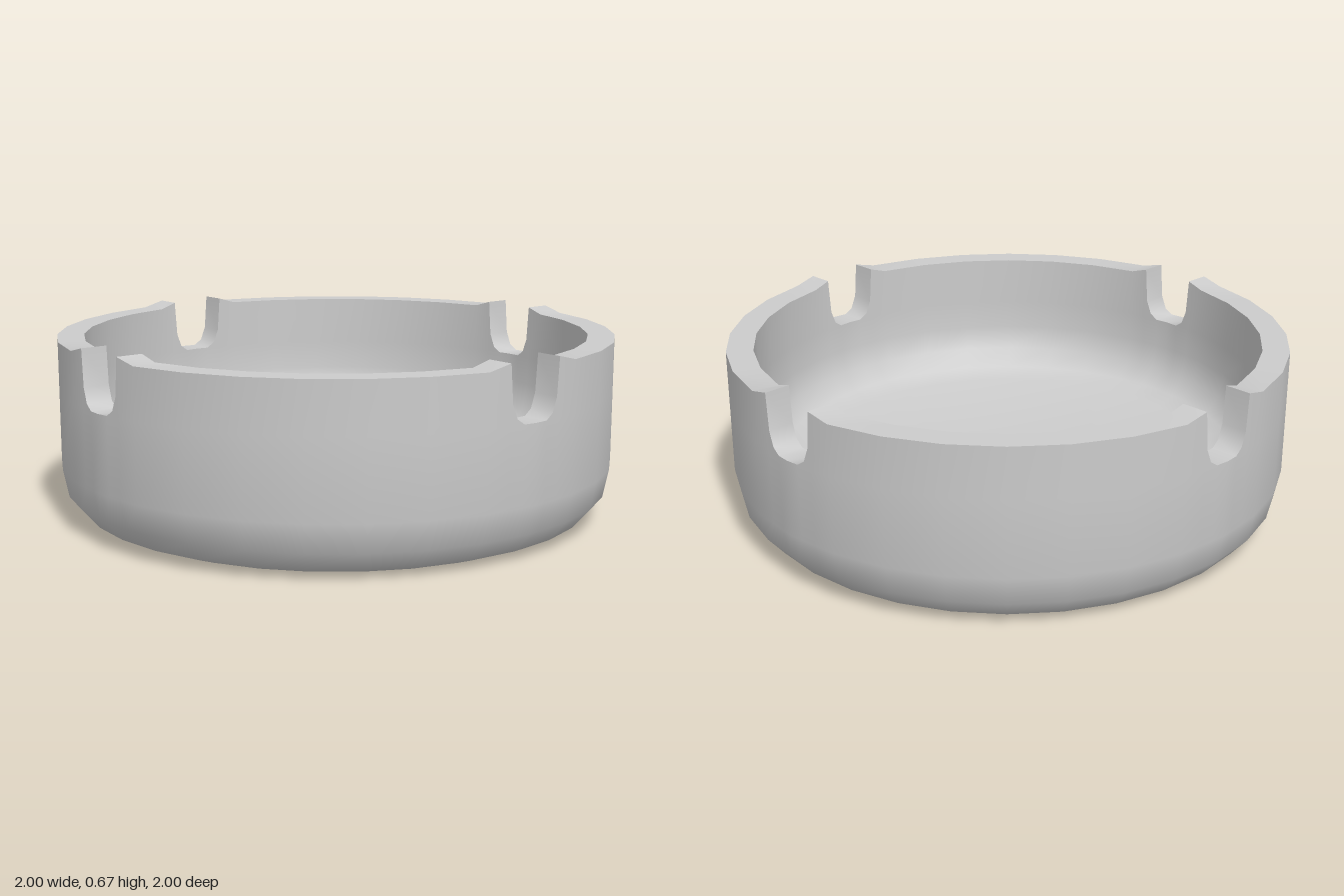
import * as THREE from 'three';
import { toCreasedNormals } from 'three/addons/utils/BufferGeometryUtils.js';

const STEP = Math.PI / 16; // 32-sided bowl
const RIM = 0.65, NOTCH_FLOOR = 0.47;

// Half outline of a notch: [sideways offset, height of the wall top]
const notch = [[0.05, NOTCH_FLOOR], [0.08, 0.49], [0.1, 0.54], [0.11, 0.67]];

// Wall cross-section from the underside, round the rim, to the inner floor.
// A null height means the top of the wall, which dips at the notches.
const profile = [
  [0, 0], [0.84, 0], [0.92, 0.03], [0.98, 0.1], [1, 0.2], [1, NOTCH_FLOOR],
  [1, null], [0.905, null],
  [0.905, NOTCH_FLOOR], [0.905, 0.36], [0.888, 0.27], [0.835, 0.205], [0.75, 0.18], [0, 0.18],
];

// One quarter of the columns, running from one notch centre to the next
function quarterColumns() {
  const columns = [{ offset: 0, angle: 0, top: NOTCH_FLOOR }];
  for (const [offset, top] of notch) columns.push({ offset, angle: 0, top });
  for (let k = 1; k < 8; k++) columns.push({ offset: 0, angle: k * STEP, top: RIM });
  for (const [offset, top] of [...notch].reverse()) {
    columns.push({ offset: -offset, angle: Math.PI / 2, top });
  }
  return columns;
}

// Point on a column; notch columns are shifted sideways along the flat facet
function pointOn(column, turn, [radius, height]) {
  const side = radius === 0 ? 0 : column.offset;
  const out = radius - Math.abs(side) * Math.tan(STEP / 2);
  const a = column.angle + turn;
  return new THREE.Vector3(
    out * Math.sin(a) + side * Math.cos(a),
    height ?? column.top,
    out * Math.cos(a) - side * Math.sin(a),
  );
}

function bowlGeometry() {
  const grid = [];
  for (let q = 0; q < 4; q++) {
    for (const column of quarterColumns()) {
      grid.push(profile.map((p) => pointOn(column, q * Math.PI / 2, p)));
    }
  }
  const positions = [];
  const addTriangle = (a, b, c) => {
    if (new THREE.Triangle(a, b, c).getArea() < 1e-7) return;
    for (const v of [a, b, c]) positions.push(v.x, v.y, v.z);
  };
  grid.forEach((column, i) => {
    const next = grid[(i + 1) % grid.length];
    for (let j = 0; j < profile.length - 1; j++) {
      addTriangle(column[j], next[j], next[j + 1]);
      addTriangle(column[j], next[j + 1], column[j + 1]);
    }
  });
  const geometry = new THREE.BufferGeometry();
  geometry.setAttribute('position', new THREE.Float32BufferAttribute(positions, 3));
  return toCreasedNormals(geometry, THREE.MathUtils.degToRad(40));
}

export function createModel() {
  const group = new THREE.Group();
  group.name = 'ashtray';
  // Thick-walled bowl with four notches in its rim
  const bowl = new THREE.Mesh(bowlGeometry(), new THREE.MeshStandardMaterial({ color: 0xcccccc }));
  bowl.name = 'notchedBowl';
  group.add(bowl);
  return group;
}
